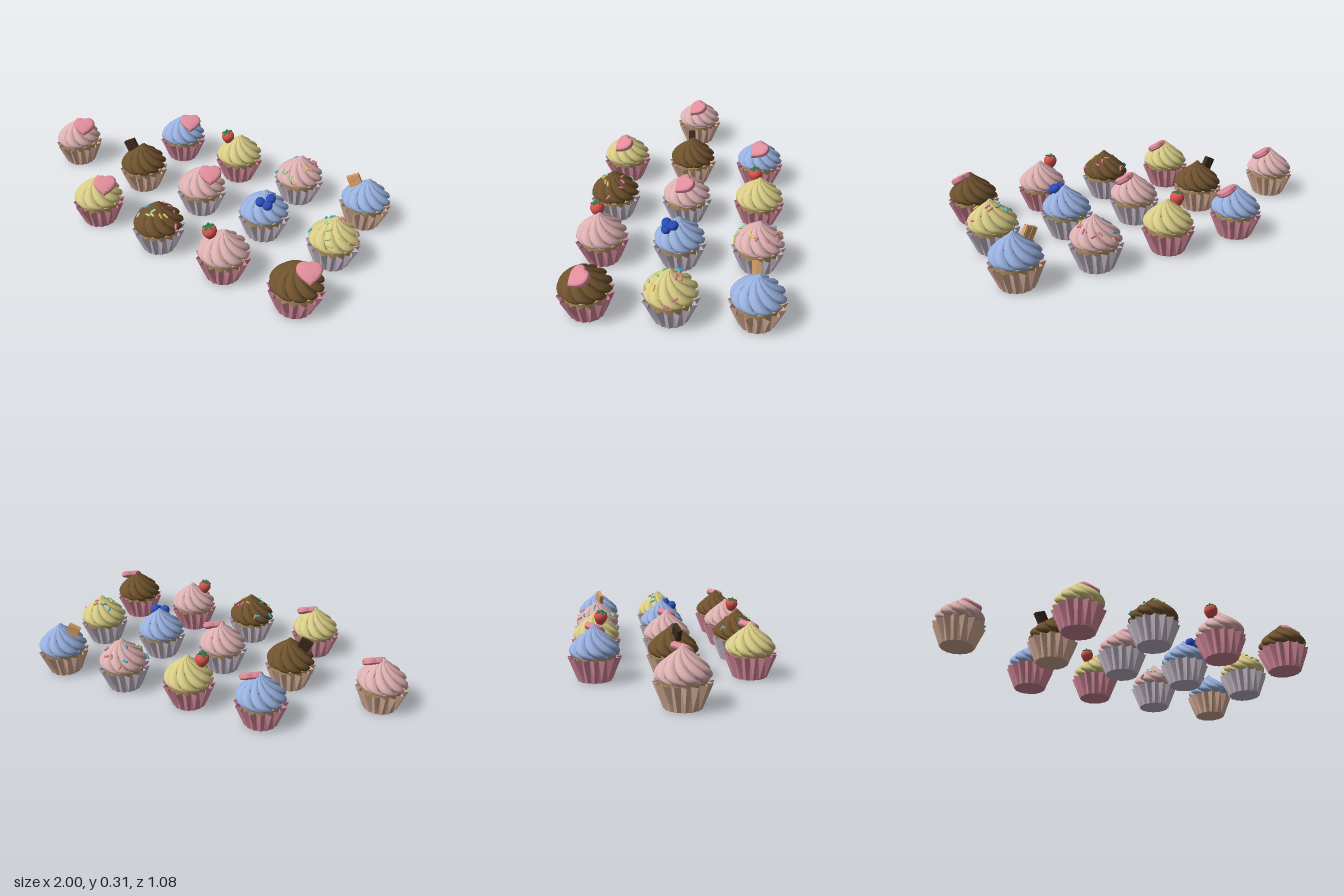
import * as THREE from 'three';
import { toCreasedNormals } from 'three/addons/utils/BufferGeometryUtils.js';
import { ParametricGeometry } from 'three/addons/geometries/ParametricGeometry.js';

const V2 = (x, y) => new THREE.Vector2(x, y);
const mat = (color, extra = {}) => new THREE.MeshStandardMaterial({ color, ...extra });

const FROSTING = { pink: mat(0xdcb0b0), yellow: mat(0xd8cb86), blue: mat(0x98b0de), brown: mat(0x6f522e) };
const paper = (c) => mat(c, { flatShading: true, side: THREE.DoubleSide });
const WRAPPER = { rose: paper(0xd68a9c), lilac: paper(0xc8bccb), tan: paper(0xd8ae98) };
const M = {
  cake: mat(0xc4a068), heart: mat(0xe08c9a), strawberry: mat(0xd8544e), leaf: mat(0x2f7d48),
  blueberry: mat(0x2c50c0), chocolate: mat(0x3d2c1d), wafer: mat(0xd8a068),
};
const SPRINKLES = [0xa8e0a0, 0xe07c98, 0x48b8d8, 0xe8c860, 0xd89070].map((c) => mat(c));

function mesh(name, geometry, material, parent) {
  const m = new THREE.Mesh(geometry, material);
  m.name = name;
  parent.add(m);
  return m;
}

let seed = 7;
const rand = () => (seed = (seed * 16807) % 2147483647) / 2147483647;

// Pleated paper cup: every other column of a lathe is pushed out
function wrapperGeometry(pleats = 16) {
  const g = new THREE.LatheGeometry([V2(0, 0), V2(0.087, 0), V2(0.125, 0.123)], pleats * 2);
  const p = g.attributes.position;
  for (let i = 0; i < p.count; i++) {
    const sign = Math.floor(i / 3) % 2 ? -1 : 1;
    const s = 1 + sign * (0.025 + 0.085 * p.getY(i) / 0.123);
    p.setX(i, p.getX(i) * s);
    p.setZ(i, p.getZ(i) * s);
  }
  g.computeVertexNormals();
  return g;
}

// Piped swirl: lobed cross-sections that twist towards the peak
const profile = new THREE.SplineCurve([
  V2(0.085, 0.124), V2(0.11, 0.13), V2(0.124, 0.146), V2(0.125, 0.165), V2(0.112, 0.188), V2(0.089, 0.212),
  V2(0.064, 0.233), V2(0.042, 0.25), V2(0.022, 0.266), V2(0.009, 0.28), V2(0.0005, 0.286),
]);
function frostingPoint(u, v, target) {
  const a = u * Math.PI * 2;
  const p = profile.getPoint(v);
  const groove = Math.pow(1 - Math.abs(Math.sin(5 * (a + v * 1.9))), 2);
  const r = p.x * (1.03 - 0.2 * groove);
  const lean = 0.006 * v * v;
  const droop = 0.006 * Math.sin(a) * (1 - v);
  target.set(r * Math.sin(a) + lean, p.y + droop, r * Math.cos(a));
}

// Puffy heart lying in XY, tip down
function heartGeometry() {
  const s = new THREE.Shape();
  s.moveTo(0, -0.04);
  s.bezierCurveTo(-0.018, -0.026, -0.044, -0.008, -0.044, 0.012);
  s.bezierCurveTo(-0.044, 0.04, -0.008, 0.042, 0, 0.02);
  s.bezierCurveTo(0.008, 0.042, 0.044, 0.04, 0.044, 0.012);
  s.bezierCurveTo(0.044, -0.008, 0.018, -0.026, 0, -0.04);
  const g = new THREE.ExtrudeGeometry(s, {
    depth: 0.006, bevelThickness: 0.015, bevelSize: 0.017, bevelSegments: 5, curveSegments: 10,
  });
  return toCreasedNormals(g.translate(0, 0, -0.003), 1);
}

const berryProfile = new THREE.SplineCurve([
  V2(0.0005, -0.044), V2(0.02, -0.033), V2(0.034, -0.006), V2(0.036, 0.012), V2(0.026, 0.03), V2(0.0005, 0.034),
]);

const G = {
  wrapper: wrapperGeometry(),
  cake: new THREE.CylinderGeometry(0.112, 0.1, 0.05, 32).translate(0, 0.108, 0),
  frosting: new ParametricGeometry(frostingPoint, 100, 26),
  heart: heartGeometry(),
  strawberry: new THREE.LatheGeometry(berryProfile.getPoints(16), 20),
  leaf: new THREE.SphereGeometry(1, 8, 6).scale(0.008, 0.004, 0.017),
  stem: new THREE.CylinderGeometry(0.003, 0.003, 0.016, 6),
  blueberry: new THREE.SphereGeometry(0.026, 18, 12),
  crown: new THREE.TorusGeometry(0.008, 0.003, 6, 10).rotateX(Math.PI / 2),
  slab: new THREE.BoxGeometry(0.066, 0.085, 0.022),
  pad: new THREE.BoxGeometry(0.027, 0.036, 0.028),
  sprinkle: new THREE.CapsuleGeometry(0.006, 0.02, 3, 8),
};

// Square bar pushed into the frosting
function bar(parent, name, material) {
  const g = new THREE.Group();
  g.name = name;
  g.position.set(-0.068, 0.244, 0.012);
  g.rotation.set(-0.1, 0.3, 0.5);
  mesh('slab', G.slab, material, g);
  for (const x of [-1, 1]) for (const y of [-1, 1]) {
    mesh('slabSquare', G.pad, material, g).position.set(x * 0.0155, y * 0.0205, 0);
  }
  parent.add(g);
}

const TOPPINGS = {
  heart(parent) {
    const h = mesh('heart', G.heart, M.heart, parent);
    h.rotation.order = 'YXZ';
    h.rotation.set(-1.0, 0.6, 0);
    h.position.set(0.06, 0.25, 0.008);
  },
  strawberry(parent) {
    const g = new THREE.Group();
    g.name = 'strawberry';
    g.position.set(-0.064, 0.258, 0.028);
    g.rotation.set(0.15, 0, 0.2);
    mesh('strawberryFruit', G.strawberry, M.strawberry, g);
    for (let i = 0; i < 5; i++) {
      const a = i * Math.PI * 0.4;
      const leaf = mesh('strawberryLeaf', G.leaf, M.leaf, g);
      leaf.rotation.order = 'YXZ';
      leaf.rotation.set(0.2, a, 0);
      leaf.position.set(Math.sin(a) * 0.016, 0.035, Math.cos(a) * 0.016);
    }
    mesh('strawberryStem', G.stem, M.leaf, g).position.y = 0.041;
    parent.add(g);
  },
  blueberries(parent) {
    for (const [x, y, z] of [[0.048, 0.26, 0.026], [0.008, 0.246, 0.064], [0.05, 0.238, 0.062]]) {
      const g = new THREE.Group();
      g.name = 'blueberry';
      g.position.set(x, y, z);
      g.rotation.set(0.4, 0, -0.3);
      mesh('blueberryFruit', G.blueberry, M.blueberry, g);
      mesh('blueberryCrown', G.crown, M.blueberry, g).position.y = 0.025;
      parent.add(g);
    }
  },
  chocolate: (parent) => bar(parent, 'chocolateChunk', M.chocolate),
  wafer: (parent) => bar(parent, 'wafer', M.wafer),
  sprinkles(parent) {
    const p = new THREE.Vector3(), q = new THREE.Vector3(), side = new THREE.Vector3();
    const up = new THREE.Vector3(0, 1, 0);
    for (let i = 0; i < 14; i++) {
      const u = (i * 0.382 + rand() * 0.08) % 1, v = 0.3 + 0.42 * rand();
      frostingPoint(u, v, p);
      frostingPoint(u, v + 0.03, q);
      const a = u * Math.PI * 2, k = rand() * Math.PI;
      side.set(Math.cos(a), 0, -Math.sin(a));
      q.sub(p).normalize().multiplyScalar(Math.sin(k)).addScaledVector(side, Math.cos(k)).normalize();
      const s = mesh('sprinkle', G.sprinkle, SPRINKLES[i % SPRINKLES.length], parent);
      s.quaternion.setFromUnitVectors(up, q);
      s.position.copy(p).add(side.set(Math.sin(a), 1, Math.cos(a)).multiplyScalar(0.002));
    }
  },
};

// x, z, frosting, wrapper, topping
const CUPCAKES = [
  [-0.862, 0, 'pink', 'tan', 'heart'],
  [-0.355, -0.4, 'blue', 'rose', 'heart'],
  [-0.355, 0, 'brown', 'tan', 'chocolate'],
  [-0.355, 0.4, 'yellow', 'rose', 'heart'],
  [0.055, -0.4, 'yellow', 'rose', 'strawberry'],
  [0.055, 0, 'pink', 'lilac', 'heart'],
  [0.055, 0.4, 'brown', 'lilac', 'sprinkles'],
  [0.455, -0.4, 'pink', 'lilac', 'sprinkles'],
  [0.455, 0, 'blue', 'lilac', 'blueberries'],
  [0.455, 0.4, 'pink', 'rose', 'strawberry'],
  [0.858, -0.4, 'blue', 'tan', 'wafer'],
  [0.858, 0, 'yellow', 'lilac', 'sprinkles'],
  [0.858, 0.4, 'brown', 'rose', 'heart'],
];

export function createModel() {
  const model = new THREE.Group();
  model.name = 'cupcakes';
  for (const [x, z, frosting, wrapper, topping] of CUPCAKES) {
    const cup = new THREE.Group();
    cup.name = 'cupcake';
    cup.position.set(x, 0, z);
    mesh('wrapper', G.wrapper, WRAPPER[wrapper], cup);
    mesh('cake', G.cake, M.cake, cup);
    mesh('frosting', G.frosting, FROSTING[frosting], cup);
    TOPPINGS[topping](cup);
    model.add(cup);
  }
  return model;
}
